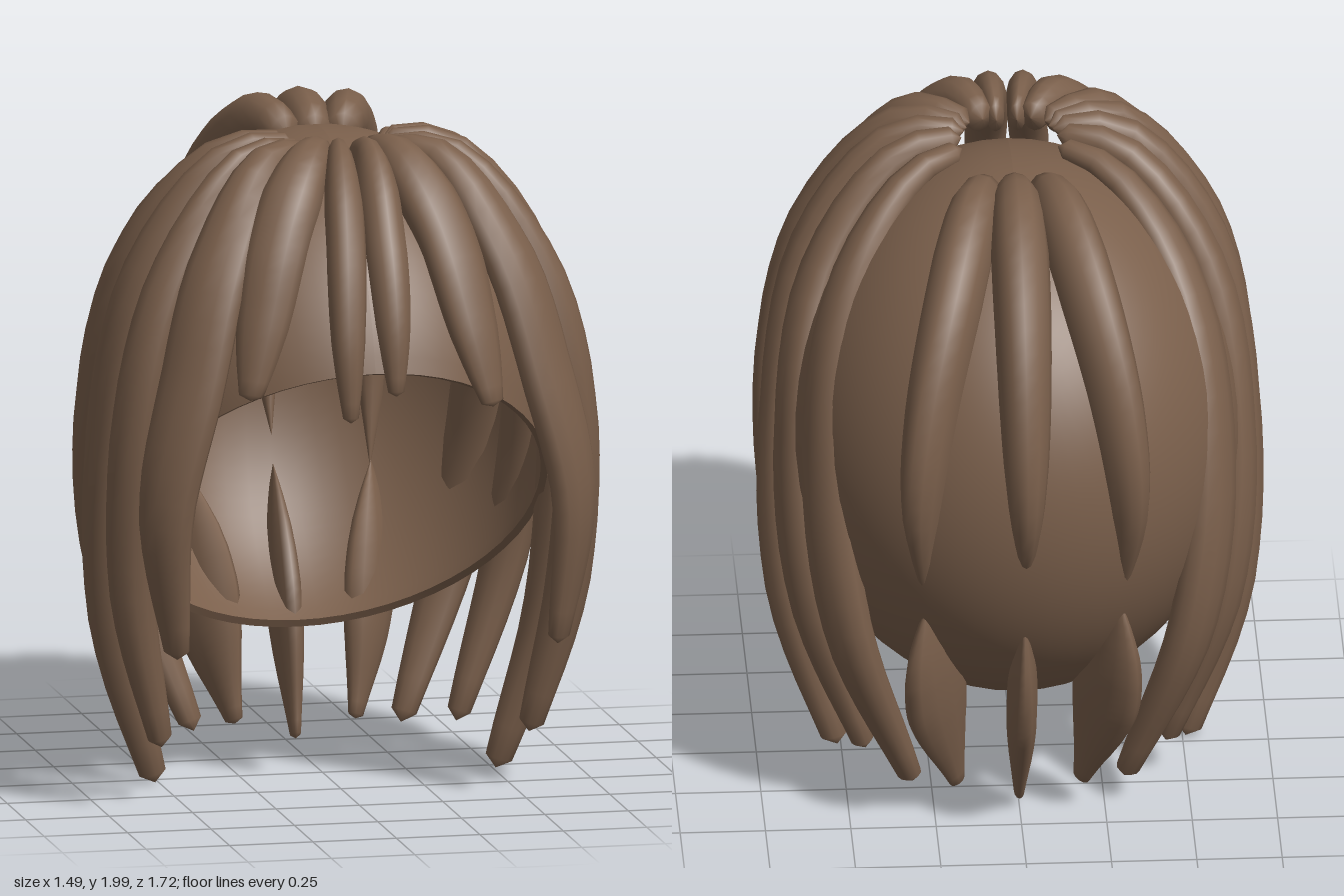
import * as THREE from 'three';

const hair = new THREE.MeshStandardMaterial({ color: 0x7a5f4b, side: THREE.DoubleSide });
hair.name = 'brown hair';

// Scalp ellipsoid shared by the cap and the locks
const CENTER = new THREE.Vector3(0, 1.1, -0.015);
const RADII = new THREE.Vector3(0.68, 0.82, 0.765);

// Relative thickness of a lock from root to tip
const FULL = [0.35, 0.58, 0.8, 0.95, 1, 1, 0.94, 0.82, 0.62, 0.38];
const BANG = [0.4, 0.62, 0.85, 1, 1, 1, 0.95, 0.85, 0.66, 0.4];
const BACK = [0.6, 0.9, 1, 1, 0.96, 0.9, 0.8, 0.62, 0.36, 0.05];
const SPIKE = [0.06, 0.45, 0.75, 0.93, 1, 1, 0.92, 0.76, 0.55, 0.34];

function sample(list, t) {
  const f = t * (list.length - 1), i = Math.min(Math.floor(f), list.length - 2);
  return THREE.MathUtils.lerp(list[i], list[i + 1], f - i);
}

// Sweeps a flattened oval along a curve, its broad side lying on the scalp;
// depth is given as evenly spaced values from root to tip
function lockGeometry(points, width, depth, profile) {
  const curve = new THREE.CatmullRomCurve3(points.map(p => new THREE.Vector3(...p)));
  const rings = 22, sides = 12, pos = [], index = [];
  const add = (t, scale) => {
    const p = curve.getPointAt(t), tangent = curve.getTangentAt(t);
    const out = p.clone().sub(CENTER).divide(RADII).divide(RADII);
    out.y = Math.max(out.y, 0);
    out.addScaledVector(tangent, -out.dot(tangent)).normalize();
    const side = new THREE.Vector3().crossVectors(tangent, out);
    for (let j = 0; j < sides; j++) {
      const a = j / sides * Math.PI * 2;
      const v = p.clone()
        .addScaledVector(side, Math.cos(a) * width * scale)
        .addScaledVector(out, Math.sin(a) * sample(depth, t) * scale);
      pos.push(v.x, v.y, v.z);
    }
  };
  add(0, 0.001);
  for (let i = 0; i <= rings; i++) {
    const t = i / rings;
    add(t * 0.97 + 0.015, sample(profile, t));
  }
  add(1, 0.001);
  for (let i = 0; i < rings + 2; i++) {
    for (let j = 0; j < sides; j++) {
      const a = i * sides + j, b = i * sides + (j + 1) % sides;
      index.push(a, b, a + sides, b, b + sides, a + sides);
    }
  }
  const g = new THREE.BufferGeometry();
  g.setAttribute('position', new THREE.Float32BufferAttribute(pos, 3));
  g.setIndex(index);
  g.computeVertexNormals();
  return g;
}

export function createModel() {
  const group = new THREE.Group();
  group.name = 'hair';

  const addLock = (name, points, width, depth, profile) => {
    const mesh = new THREE.Mesh(lockGeometry(points, width, depth, profile), hair);
    mesh.name = name;
    group.add(mesh);
  };
  const addPair = (name, points, ...rest) => {
    addLock(name + 'Left', points, ...rest);
    addLock(name + 'Right', points.map(([x, y, z]) => [-x, y, z]), ...rest);
  };

  // Scalp cap: thin shell cut by a plane sloping down to the nape
  const cut = 1.985, steps = 32, profile = [];
  for (let i = 0; i <= steps; i++) {
    const a = cut * (1 - i / steps);
    profile.push(new THREE.Vector2(Math.max(Math.sin(a), 0), Math.cos(a)));
  }
  const shell = (r) => new THREE.LatheGeometry(profile.map(p => p.clone().multiplyScalar(r)), 56);
  const rim = new THREE.LatheGeometry([profile[0].clone().multiplyScalar(0.97), profile[0].clone()], 56);
  const turn = new THREE.Quaternion().setFromUnitVectors(
    new THREE.Vector3(0, 1, 0), new THREE.Vector3(0, 0.766, -0.643).normalize());
  [['capOutside', shell(1)], ['capInside', shell(0.97)], ['capRim', rim]].forEach(([name, g]) => {
    g.applyQuaternion(turn).scale(RADII.x, RADII.y, RADII.z).translate(CENTER.x, CENTER.y, CENTER.z);
    g.computeVertexNormals();
    const mesh = new THREE.Mesh(g, hair);
    mesh.name = name;
    group.add(mesh);
  });

  // Fringe over the forehead
  const thick = [0.12, 0.08, 0.06, 0.06, 0.06];
  addLock('fringeMiddleRight',
    [[-0.03, 1.9, 0.31], [-0.05, 1.91, 0.46], [-0.08, 1.71, 0.68], [-0.1, 1.45, 0.8], [-0.1, 1.21, 0.84]],
    0.058, thick, BANG);
  addLock('fringeMiddleLeft',
    [[0.03, 1.9, 0.31], [0.04, 1.91, 0.46], [0.04, 1.71, 0.67], [0.04, 1.48, 0.78], [0.04, 1.28, 0.82]],
    0.062, thick, BANG);
  addLock('fringeRight',
    [[-0.07, 1.91, 0.3], [-0.14, 1.91, 0.43], [-0.26, 1.72, 0.59], [-0.33, 1.48, 0.68], [-0.38, 1.27, 0.74]],
    0.095, thick, BANG);
  addLock('fringeLeft',
    [[0.07, 1.91, 0.3], [0.13, 1.91, 0.44], [0.23, 1.72, 0.61], [0.29, 1.46, 0.72], [0.34, 1.23, 0.78]],
    0.095, thick, BANG);

  // Long side locks fanning out of the crown, front to back
  addPair('templeLock',
    [[0.11, 1.91, 0.28], [0.26, 1.9, 0.39], [0.43, 1.64, 0.55], [0.53, 1.3, 0.63], [0.61, 0.92, 0.645], [0.57, 0.48, 0.61]],
    0.11, [0.12, 0.07, 0.06, 0.065, 0.075], FULL);
  addPair('frontSideLock',
    [[0.12, 1.91, 0.25], [0.3, 1.9, 0.32], [0.53, 1.62, 0.42], [0.65, 1.22, 0.45], [0.655, 0.65, 0.38], [0.55, 0.16, 0.31]],
    0.082, [0.12, 0.07, 0.06, 0.08, 0.1], FULL);
  addPair('middleSideLock',
    [[0.13, 1.92, 0.21], [0.32, 1.9, 0.23], [0.56, 1.61, 0.22], [0.66, 1.2, 0.17], [0.655, 0.52, 0.09], [0.51, 0.0, 0.04]],
    0.092, [0.12, 0.07, 0.06, 0.08, 0.11], FULL);
  addPair('rearSideLock',
    [[0.14, 1.92, 0.17], [0.32, 1.89, 0.13], [0.55, 1.61, 0.02], [0.64, 1.2, -0.13], [0.61, 0.65, -0.22], [0.44, 0.1, -0.18]],
    0.1, [0.12, 0.07, 0.06, 0.075, 0.09], FULL);
  addPair('napeSideLock',
    [[0.14, 1.91, 0.12], [0.29, 1.87, 0.03], [0.48, 1.63, -0.16], [0.56, 1.2, -0.36], [0.51, 0.65, -0.45], [0.31, 0.07, -0.34]],
    0.105, [0.1, 0.07, 0.065, 0.075, 0.09], FULL);

  // Short thick locks over the back of the head
  addLock('backLock',
    [[0, 1.88, -0.09], [0, 1.9, -0.27], [0, 1.71, -0.56], [0, 1.42, -0.73], [0, 1.15, -0.785], [0, 0.87, -0.69]],
    0.085, [0.1, 0.11, 0.12, 0.12, 0.12], BACK);
  addPair('backSideLock',
    [[0.08, 1.88, -0.1], [0.12, 1.9, -0.24], [0.2, 1.71, -0.5], [0.27, 1.42, -0.65], [0.3, 1.15, -0.695], [0.28, 0.78, -0.62]],
    0.085, [0.1, 0.11, 0.12, 0.12, 0.12], BACK);

  // Hanging spikes at the nape
  addLock('napeSpike',
    [[0, 0.79, -0.67], [0, 0.56, -0.59], [0, 0.3, -0.47], [0, 0.03, -0.36]], 0.045, [0.16, 0.15, 0.09], SPIKE);
  addPair('napeSideSpike',
    [[0.28, 0.8, -0.61], [0.265, 0.57, -0.54], [0.23, 0.32, -0.45], [0.18, 0.08, -0.37]], 0.06, [0.15, 0.14, 0.09], SPIKE);

  return group;
}
